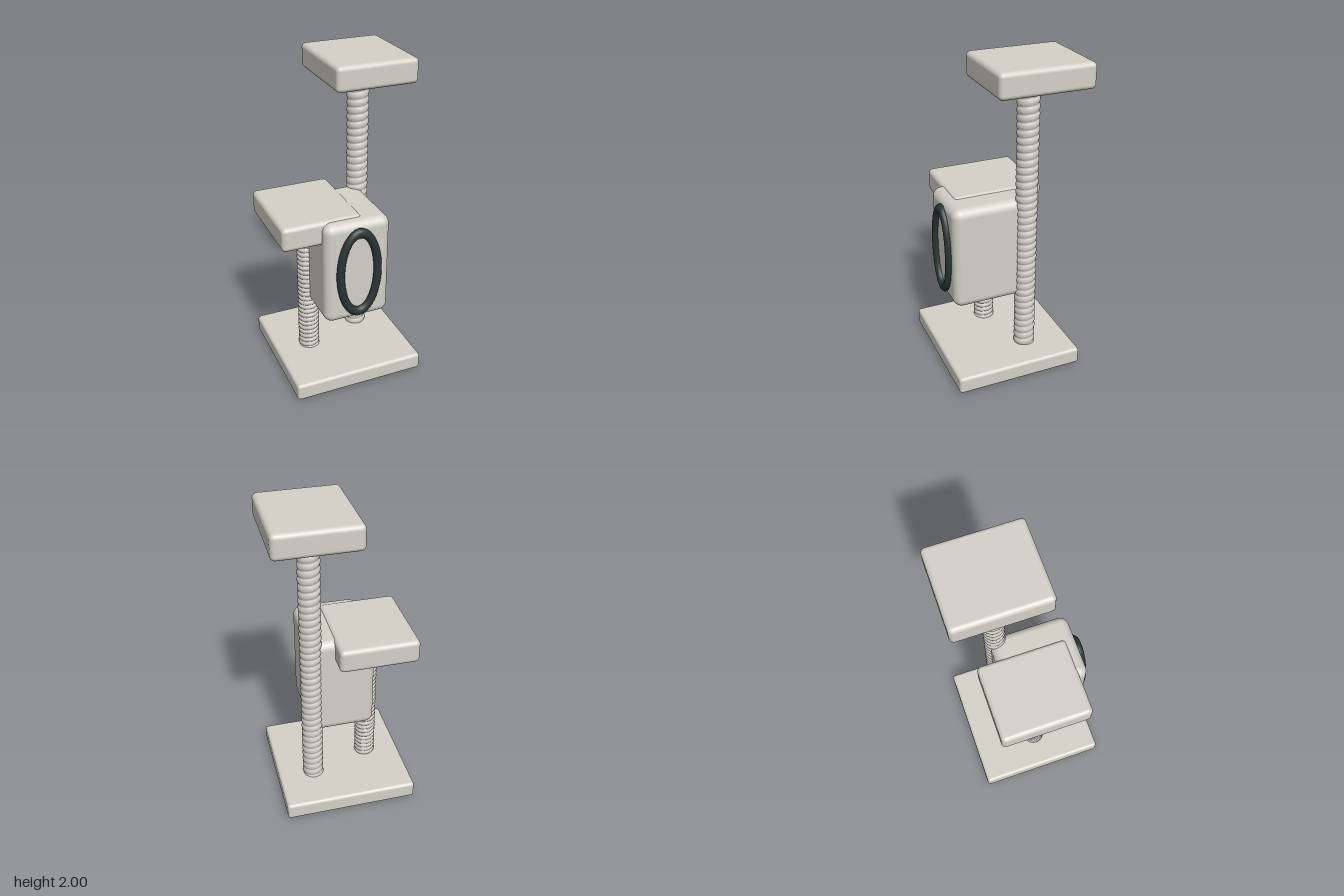
import * as THREE from 'three';
import { RoundedBoxGeometry } from 'three/addons/geometries/RoundedBoxGeometry.js';

// Rounded block given by its limits on each axis
function block(name, material, [x0, x1], [y0, y1], [z0, z1], radius) {
  const mesh = new THREE.Mesh(new RoundedBoxGeometry(x1 - x0, y1 - y0, z1 - z0, 5, radius), material);
  mesh.position.set((x0 + x1) / 2, (y0 + y1) / 2, (z0 + z1) / 2);
  mesh.name = name;
  return mesh;
}

// Post wound with rope: a cylinder whose radius swells along a helix
function ropePost(name, material, x, z, height, pitch) {
  const rows = Math.round(height / pitch) * 8;
  const geometry = new THREE.CylinderGeometry(1, 1, height, 32, rows);
  const p = geometry.attributes.position;
  const uv = geometry.attributes.uv;
  const sideCount = 33 * (rows + 1);
  for (let i = 0; i < p.count; i++) {
    let r = 0.06;
    if (i < sideCount) {
      const phase = p.getY(i) / pitch - uv.getX(i);
      r = 0.058 + 0.009 * Math.sqrt(Math.abs(Math.sin(Math.PI * phase)));
    }
    p.setX(i, p.getX(i) * r);
    p.setZ(i, p.getZ(i) * r);
  }
  geometry.computeVertexNormals();
  const mesh = new THREE.Mesh(geometry, material);
  mesh.position.set(x, height / 2, z);
  mesh.name = name;
  return mesh;
}

// Oval rim, slightly thicker at its top and bottom
function ovalRim(name, material) {
  const tubeSides = 16, steps = 64;
  const geometry = new THREE.TorusGeometry(1, 0.2, tubeSides, steps);
  const p = geometry.attributes.position;
  for (let j = 0, i = 0; j <= tubeSides; j++) {
    for (let k = 0; k <= steps; k++, i++) {
      const a = (k / steps) * Math.PI * 2;
      const b = (j / tubeSides) * Math.PI * 2;
      const out = Math.cos(b);
      p.setXYZ(i,
        Math.cos(a) * (0.119 + 0.025 * out),
        Math.sin(a) * (0.268 + 0.031 * out),
        0.025 * Math.sin(b));
    }
  }
  geometry.computeVertexNormals();
  const mesh = new THREE.Mesh(geometry, material);
  mesh.position.set(0, 0.807, 0.35);
  mesh.name = name;
  return mesh;
}

export function createModel() {
  const plush = new THREE.MeshStandardMaterial({ color: 0xd3d1c8 });
  plush.name = 'pale plush';
  const dark = new THREE.MeshStandardMaterial({ color: 0x2a3434 });
  dark.name = 'dark trim';

  const group = new THREE.Group();
  group.name = 'catTree';
  group.add(
    // Base and platforms
    block('base', plush, [-0.42, 0.417], [0.01, 0.12], [-0.408, 0.405], 0.02),
    block('middlePlatform', plush, [-0.445, 0.047], [1.0, 1.15], [-0.285, 0.282], 0.028),
    block('topPlatform', plush, [-0.06, 0.442], [1.85, 2.0], [-0.408, 0.16], 0.028),
    // Rope posts
    ropePost('tallPost', plush, 0.19, -0.121, 1.88, 0.046),
    ropePost('shortPost', plush, -0.196, 0.005, 1.03, 0.032),
    // Cubby with its rim
    block('cubby', plush, [-0.208, 0.206], [0.478, 1.14], [-0.16, 0.344], 0.055),
    ovalRim('cubbyRim', dark)
  );
  return group;
}
